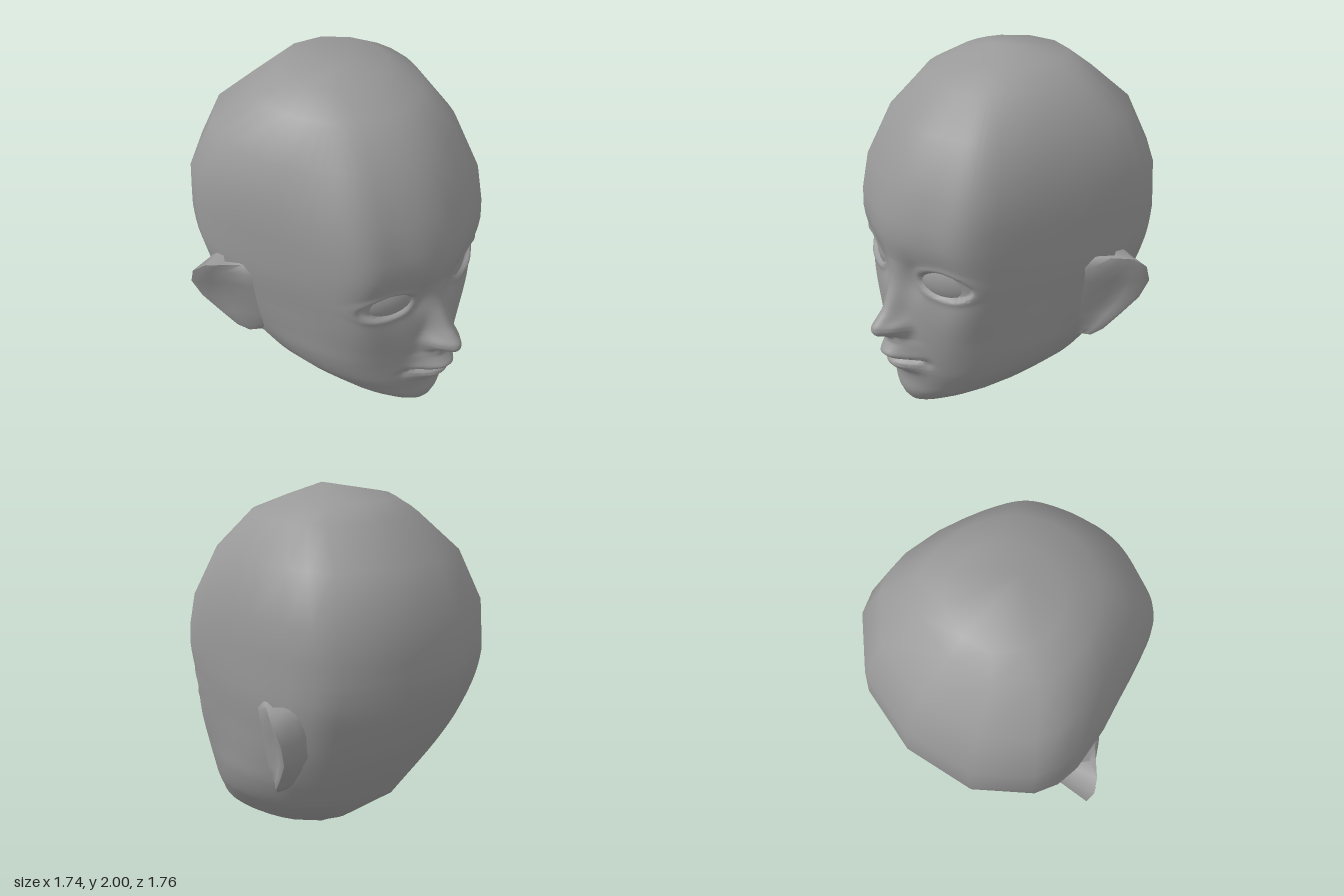
import * as THREE from 'three';
import { toCreasedNormals } from 'three/addons/utils/BufferGeometryUtils.js';

// Skull slices: y, half width, front z, back z, z of widest point
const SLICES = [
  [0, 0.06, 0.58, 0.15, 0.35], [0.03, 0.17, 0.64, -0.05, 0.25], [0.1, 0.29, 0.68, -0.2, 0.2],
  [0.18, 0.385, 0.685, -0.36, 0.12], [0.28, 0.485, 0.695, -0.46, 0.02], [0.42, 0.57, 0.705, -0.56, -0.08],
  [0.55, 0.62, 0.715, -0.645, -0.17], [0.7, 0.665, 0.72, -0.735, -0.23], [0.92, 0.71, 0.735, -0.835, -0.28],
  [1.1, 0.72, 0.762, -0.88, -0.3], [1.2, 0.72, 0.757, -0.873, -0.3], [1.38, 0.72, 0.71, -0.86, -0.29],
  [1.65, 0.63, 0.585, -0.735, -0.22], [1.85, 0.455, 0.39, -0.51, -0.12], [1.935, 0.3, 0.18, -0.41, -0.1],
  [2, 0, 0.01, 0.01, 0.01],
];

// Midline relief of nose and lips: y, height, spread in x
const RELIEF = [
  [0.1, 0, 0.12], [0.2, 0, 0.12], [0.25, 0.012, 0.12], [0.28, 0.055, 0.12], [0.31, 0.075, 0.12],
  [0.335, 0.065, 0.12], [0.36, 0.085, 0.13], [0.39, 0.115, 0.12], [0.42, 0.095, 0.115], [0.46, 0.07, 0.11],
  [0.49, 0.085, 0.09], [0.525, 0.155, 0.08], [0.57, 0.165, 0.08], [0.61, 0.13, 0.072],
  [0.66, 0.085, 0.065], [0.75, 0.04, 0.06], [0.83, 0.015, 0.06], [0.95, 0, 0.07],
];

// Smooth interpolation of a table by its first column
function sample(table, y) {
  const last = table.length - 1;
  let i = 0;
  while (i < last - 1 && table[i + 1][0] < y) i++;
  const a = table[i], b = table[i + 1], p = table[Math.max(i - 1, 0)], q = table[Math.min(i + 2, last)];
  const h = b[0] - a[0], t = THREE.MathUtils.clamp((y - a[0]) / h, 0, 1);
  return a.map((v, k) => {
    const m0 = (b[k] - p[k]) / (b[0] - p[0]) * h, m1 = (q[k] - v) / (q[0] - a[0]) * h;
    return (2 * t ** 3 - 3 * t * t + 1) * v + (t ** 3 - 2 * t * t + t) * m0
      + (3 * t * t - 2 * t ** 3) * b[k] + (t ** 3 - t * t) * m1;
  });
}

const bump = (d, s, power = 2) => Math.exp(-(Math.abs(d / s) ** power));
const step = THREE.MathUtils.smoothstep;

// Skin of rows of points, listed from bottom to top
function skin(rows, closed) {
  const n = rows[0].length, index = [];
  for (let i = 0; i < rows.length - 1; i++) {
    for (let j = 0; j < (closed ? n : n - 1); j++) {
      const a = i * n + j, b = i * n + (j + 1) % n;
      index.push(a, b, b + n, a, b + n, a + n);
    }
  }
  const geo = new THREE.BufferGeometry();
  geo.setAttribute('position', new THREE.Float32BufferAttribute(rows.flat(2), 3));
  geo.setIndex(index);
  return toCreasedNormals(geo, 1.3);
}

// Facial relief added along z
function relief(x, y) {
  const ax = Math.abs(x);
  let d = 0;
  if (y > 0.1 && y < 0.95) {
    const [, height, spread] = sample(RELIEF, y);
    d += height * bump(ax, spread, 2.5);
  }
  // mouth slit and corners
  d -= 0.045 * bump(y - 0.348, 0.011) * (1 - step(ax, 0.11, 0.19));
  d -= 0.015 * bump(ax - 0.18, 0.03) * bump(y - 0.345, 0.03);
  // nose wings and nostrils
  d += 0.035 * bump(ax - 0.085, 0.03) * bump(y - 0.565, 0.045);
  d -= 0.025 * bump(ax - 0.045, 0.025) * bump(y - 0.505, 0.018);
  // eye sockets, lids and openings
  d -= 0.03 * bump(ax - 0.29, 0.2) * bump(y - 0.86, 0.14);
  d -= 0.025 * bump(ax - 0.13, 0.06) * bump(y - 0.86, 0.1);
  const e = Math.hypot((ax - 0.31) / 0.15, (y - 0.87) / 0.082);
  d += 0.008 * bump(e - 1.12, 0.2);
  d -= 0.03 * (1 - step(e, 0.8, 1.05));
  return d;
}

// Point of the head at angle a (0 = front) and height y
function headPoint(a, y) {
  const [, w, front, back, mid] = sample(SLICES, y);
  const s = Math.sin(a), c = Math.cos(a), turn = Math.min(a, 2 * Math.PI - a);
  // full forehead corners and back, flatter temples
  const corners = 0.055 * bump(turn - 0.65, 0.2) - 0.04 * bump(turn - 1.17, 0.25);
  const r = 1 + (c > 0 ? corners * step(y, 0.3, 0.8) * (1 - step(y, 1.4, 1.9)) : 0.02 * Math.abs(2 * s * c));
  const x = w * r * s;
  let z = mid + (c > 0 ? front - mid : mid - back) * r * c;
  if (c > 0.3) z += relief(x, y) * step(c, 0.3, 0.6);
  return [x, y, z];
}

// Lowest height of the skin at angle a, along the slanted neck opening
function rimHeight(a) {
  for (let y = 0; y < 0.3; y += 0.005) {
    const z = headPoint(a, y)[2];
    if (y >= Math.min(0.03 + (0.12 - z) * 0.59, 0.16 + (-0.1 - z) * 0.35)) return y;
  }
  return 0.3;
}

function headGeometry() {
  // fine levels over the face, coarse ones over the skull
  const levels = [0, 0.015, 0.03, 0.06];
  for (let y = 0.1; y < 0.25; y += 0.025) levels.push(y);
  for (let y = 0.25; y < 0.64; y += 0.01) levels.push(y);
  for (let y = 0.64; y < 0.76; y += 0.02) levels.push(y);
  for (let y = 0.76; y < 0.985; y += 0.01) levels.push(y);
  levels.push(1, 1.02, 1.05, 1.1, 1.2, 1.38, 1.65, 1.85, 1.935, 2);

  const half = [];
  for (let a = 0; a < 0.8; a += 0.018) half.push(a);
  half.push(0.87, 0.97, 1.1, 1.3, 1.57, 1.82, 2.06, 2.58, Math.PI);
  const angles = [...half, ...half.slice(1, -1).reverse().map(a => 2 * Math.PI - a)];

  const rims = angles.map(rimHeight);
  const rows = levels.map(y => angles.map((a, j) => headPoint(a, Math.max(y, rims[j]))));
  // underside of the chin, left open behind for the neck
  rows.unshift(angles.map((a, j) => (rims[j] > 0 ? headPoint(a, rims[j]) : [0, 0, 0.2])));
  return skin(rows, true);
}

// Ear stations, bottom to top: y, then x and z of the front root, rim and back root
const EAR = [
  [0.43, 0.54, -0.08, 0.635, -0.15, 0.53, -0.18], [0.48, 0.55, -0.03, 0.69, -0.19, 0.54, -0.24],
  [0.57, 0.57, -0.02, 0.745, -0.26, 0.55, -0.31], [0.68, 0.59, -0.01, 0.81, -0.335, 0.58, -0.37],
  [0.8, 0.61, -0.01, 0.86, -0.355, 0.61, -0.385], [0.9, 0.63, -0.01, 0.872, -0.315, 0.63, -0.37],
  [0.95, 0.64, -0.07, 0.83, -0.25, 0.65, -0.32],
];

function earGeometry(side) {
  const rows = EAR.map(([y, fx, fz, rx, rz, bx, bz], i) => {
    const hollow = 0.015 * Math.sin(Math.PI * i / (EAR.length - 1));
    const at = (t, push) => [fx + (rx - fx) * t + push, y, fz + (rz - fz) * t + push * 0.5];
    const row = [
      [fx, y, fz], at(0.25, hollow * 0.3), at(0.55, -hollow), at(0.75, -hollow * 0.5), at(0.9, hollow * 0.6),
      [rx, y, rz], [(rx + bx) / 2 - 0.01, y, (rz + bz) / 2], [bx, y, bz],
    ].map(([x, py, z]) => [x * side, py, z]);
    return side > 0 ? row : row.reverse();
  });
  // close the lobe and the top edge
  const close = row => {
    const c = row.reduce((s, p) => s.map((v, k) => v + p[k] / row.length), [0, 0, 0]);
    return row.map(() => c);
  };
  rows.unshift(close(rows[0]));
  rows.push(close(rows[rows.length - 1]));
  return skin(rows, false);
}

export function createModel() {
  const group = new THREE.Group();
  const material = new THREE.MeshStandardMaterial({ color: 0x999999, side: THREE.DoubleSide });
  const add = (name, geo) => {
    const mesh = new THREE.Mesh(geo, material);
    mesh.name = name;
    group.add(mesh);
    return mesh;
  };

  add('head', headGeometry());
  for (const side of [1, -1]) {
    const label = side > 0 ? 'left' : 'right';
    add(label + 'Ear', earGeometry(side));
    // eyeball showing through the lid opening
    const eye = add(label + 'Eye', new THREE.SphereGeometry(1, 32, 20));
    eye.scale.set(0.19, 0.13, 0.09);
    eye.position.set(0.267 * side, 0.87, 0.538);
    eye.rotation.y = 0.5 * side;
  }
  return group;
}
